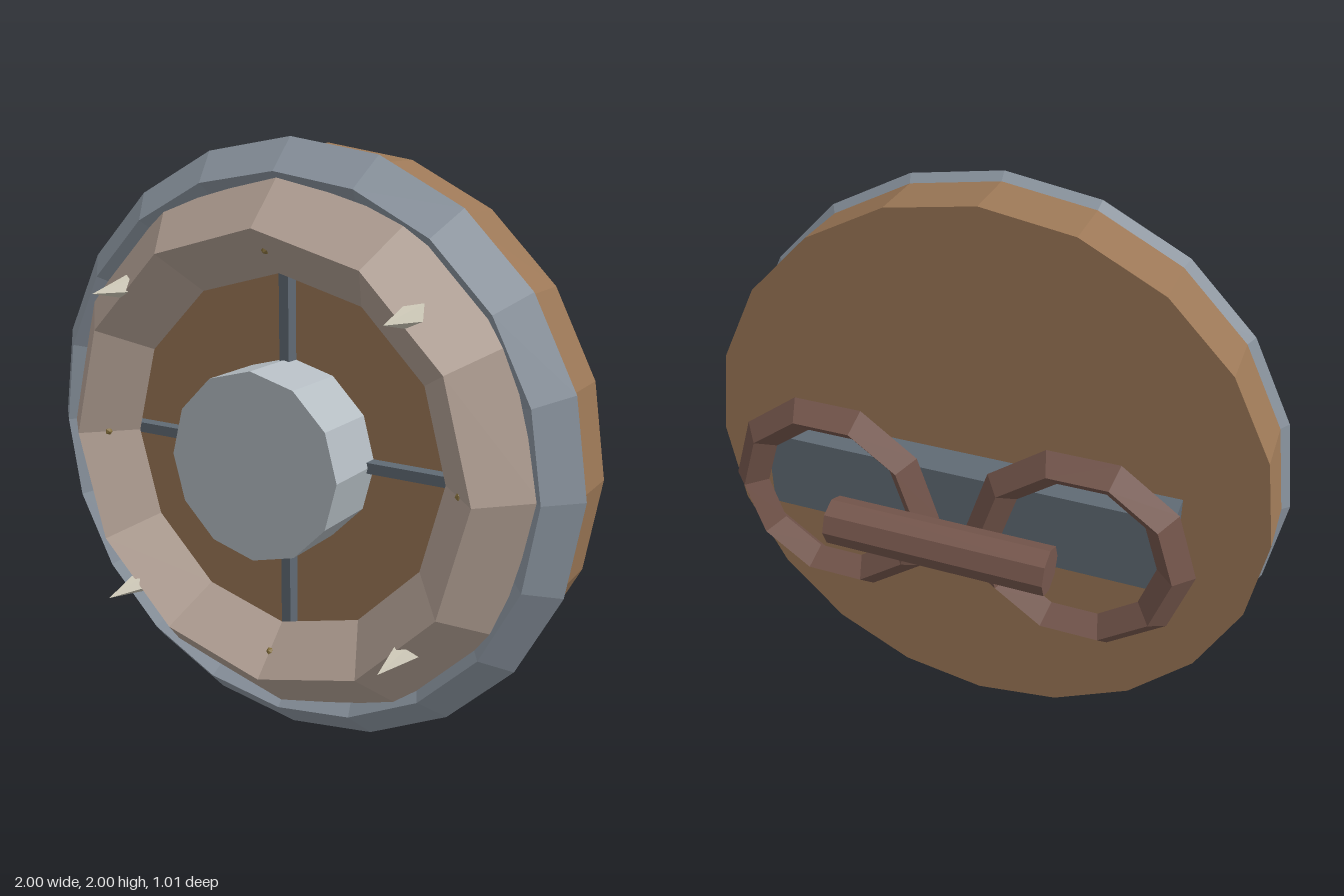
import * as THREE from 'three';

const mat = (color) => new THREE.MeshStandardMaterial({ color, flatShading: true });

export function createModel() {
  const wood = mat(0x9b7756);
  const steel = mat(0x8c96a1);
  const darkSteel = mat(0x606a74);
  const paleSteel = mat(0xb4bcc2);
  const bone = mat(0xb3a195);
  const spikeMat = mat(0xd0cbba);
  const leather = mat(0x75564c);
  const brass = mat(0x8a7440);

  const model = new THREE.Group();
  const add = (name, geometry, material, x, y, z) => {
    const mesh = new THREE.Mesh(geometry, material);
    mesh.name = name;
    mesh.position.set(x, y + 1, z); // y is measured from the shield centre
    model.add(mesh);
    return mesh;
  };
  // Cylinder whose axis runs front to back
  const disc = (r, depth, sides) => new THREE.CylinderGeometry(r, r, depth, sides).rotateX(Math.PI / 2);

  // Wooden body and the two faceted hoops
  add('woodenBody', disc(0.975, 0.23, 20), wood, 0, 0, 0.035);
  add('outerRim', new THREE.TorusGeometry(0.9, 0.1, 4, 20), steel, 0, 0, 0.15);
  add('innerRing', new THREE.TorusGeometry(0.74, 0.15, 4, 12), bone, 0, 0, 0.22);

  // Central boss
  add('boss', disc(0.31, 0.255, 12), paleSteel, 0, 0, 0.2575);

  // Spokes, spikes and rivets, one of each per quarter
  const spokeGeo = new THREE.BoxGeometry(0.4, 0.035, 0.08);
  const spikeGeo = new THREE.ConeGeometry(0.045, 0.2, 5).rotateX(Math.PI / 2);
  const rivetGeo = new THREE.IcosahedronGeometry(0.015, 0);
  for (let i = 0; i < 4; i++) {
    const a = (i * Math.PI) / 2;
    const b = a + Math.PI / 4;
    const spoke = add('spoke', spokeGeo, darkSteel, Math.cos(a) * 0.48, Math.sin(a) * 0.48, 0.155);
    spoke.rotation.z = a;
    add('spike', spikeGeo, spikeMat, Math.cos(b) * 0.735, Math.sin(b) * 0.735, 0.4);
    add('rivet', rivetGeo, brass, Math.cos(a) * 0.67, Math.sin(a) * 0.67, 0.293);
  }

  // Back plate, arm loops and grip
  add('backPlate', new THREE.BoxGeometry(1.385, 0.28, 0.125), darkSteel, 0, 0, -0.1875);
  const loopGeo = new THREE.TorusGeometry(0.31, 0.06, 4, 10);
  for (const side of [-1, 1]) add(side > 0 ? 'leftArmLoop' : 'rightArmLoop', loopGeo, leather, side * 0.417, 0, -0.31);
  add('grip', new THREE.CylinderGeometry(0.078, 0.078, 0.73, 8).rotateZ(Math.PI / 2), leather, 0, 0, -0.432);

  return model;
}
